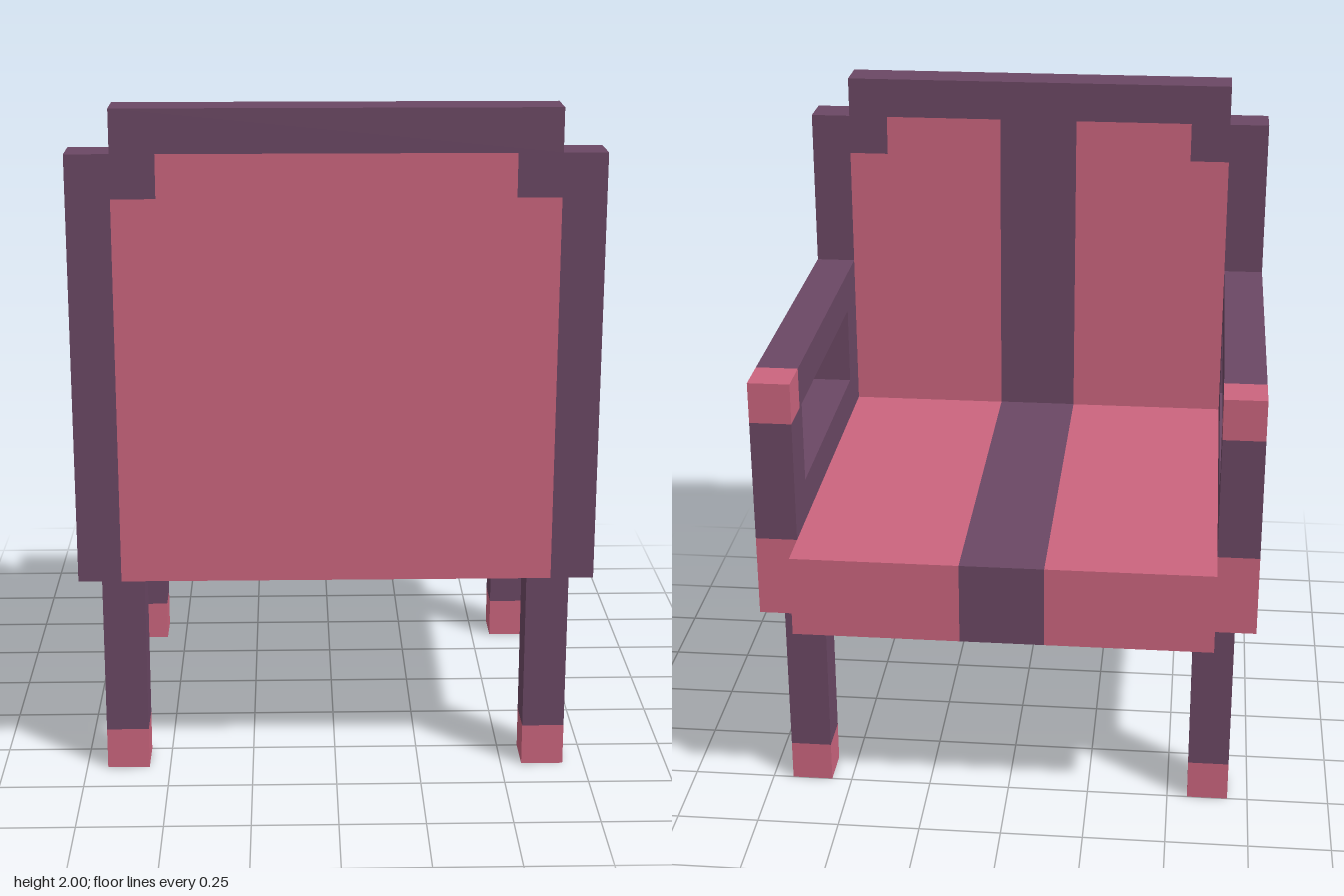
import * as THREE from 'three';

const material = (name, color) => {
  const m = new THREE.MeshStandardMaterial({ color });
  m.name = name;
  return m;
};

const polygon = (points) => new THREE.Shape(points.map(([a, b]) => new THREE.Vector2(a, b)));

// Outline mirrored left to right, given its right half from bottom to top
const mirrored = (half) => polygon([...half, ...half.map(([x, y]) => [-x, y]).reverse()]);

export function createModel() {
  const chair = new THREE.Group();
  chair.name = 'armchair';
  const pink = material('pink', 0xcb657e);
  const purple = material('purple', 0x6b4864);
  const navy = material('navy', 0x28324a);

  const add = (name, geometry, mat) => {
    const mesh = new THREE.Mesh(geometry, mat);
    mesh.name = name;
    chair.add(mesh);
    return mesh;
  };

  // Box given by its lower and upper limits on each axis
  const box = (name, mat, [x0, x1], [y0, y1], [z0, z1]) => {
    const mesh = add(name, new THREE.BoxGeometry(x1 - x0, y1 - y0, z1 - z0), mat);
    mesh.position.set((x0 + x1) / 2, (y0 + y1) / 2, (z0 + z1) / 2);
    return mesh;
  };

  // Seat cushion with a centre stripe; the sitter faces -z
  const seatY = [0.625, 0.875];
  const seatZ = [-0.6875, 0.5625];
  box('seatCushion', pink, [-0.625, -0.125], seatY, seatZ);
  box('seatStripe', purple, [-0.125, 0.125], seatY, seatZ);
  box('seatCushion', pink, [0.125, 0.625], seatY, seatZ);

  // Dark lining under seat, arms and backrest
  const underside = mirrored([[0.75, 0.6875], [0.75, -0.5625], [0.625, -0.5625], [0.625, -0.6875]].reverse());
  add('underside', new THREE.ShapeGeometry(underside).rotateX(Math.PI / 2), navy).position.y = 0.623;

  // Stepped backrest
  const back = mirrored([[0.75, 0.625], [0.75, 1.875], [0.625, 1.875], [0.625, 2]]);
  const backGeometry = new THREE.ExtrudeGeometry(back, { depth: 0.125, bevelEnabled: false });
  add('backrest', backGeometry, purple).position.z = 0.5625;

  // Rear panel
  const rear = mirrored([[0.625, 0.625], [0.625, 1.75], [0.5, 1.75], [0.5, 1.875]]);
  add('rearPanel', new THREE.ShapeGeometry(rear), pink).position.z = 0.6895;

  // Inner panels on both sides of the backrest stripe
  for (const s of [-1, 1]) {
    const inner = polygon([[0.125, 0.875], [0.625, 0.875], [0.625, 1.75], [0.5, 1.75], [0.5, 1.875], [0.125, 1.875]]
      .map(([x, y]) => [s * x, y]));
    add('backrestPanel', new THREE.ShapeGeometry(inner).rotateY(Math.PI), pink).position.z = 0.5605;
  }

  // Arm frame in side profile (z, y), with a notch for the coloured tip
  const arm = polygon([[-0.5625, 0.875], [0.5625, 0.875], [0.5625, 1.375],
    [-0.4375, 1.375], [-0.4375, 1.25], [-0.5625, 1.25]]);
  arm.holes.push(polygon([[-0.405, 1], [-0.405, 1.25], [0.405, 1.25], [0.405, 1]]));
  const armGeometry = new THREE.ExtrudeGeometry(arm, { depth: 0.125, bevelEnabled: false })
    .rotateY(-Math.PI / 2).translate(0.0625, 0, 0);

  for (const s of [-1, 1]) {
    const span = (a, b) => (s > 0 ? [a, b] : [-b, -a]);
    const armX = span(0.625, 0.75);
    add('armFrame', armGeometry, purple).position.x = s * 0.6875;
    box('armTip', pink, armX, [1.25, 1.375], [-0.5625, -0.4375]);
    box('armBase', pink, armX, seatY, [-0.5625, 0.5625]);

    // Legs with coloured feet
    for (const z of [-0.4375, 0.5625]) {
      const legX = span(0.5625, 0.6875);
      const legZ = [z - 0.0625, z + 0.0625];
      box('leg', purple, legX, [0.125, 0.625], legZ);
      box('foot', pink, legX, [0, 0.125], legZ);
    }
  }
  return chair;
}
